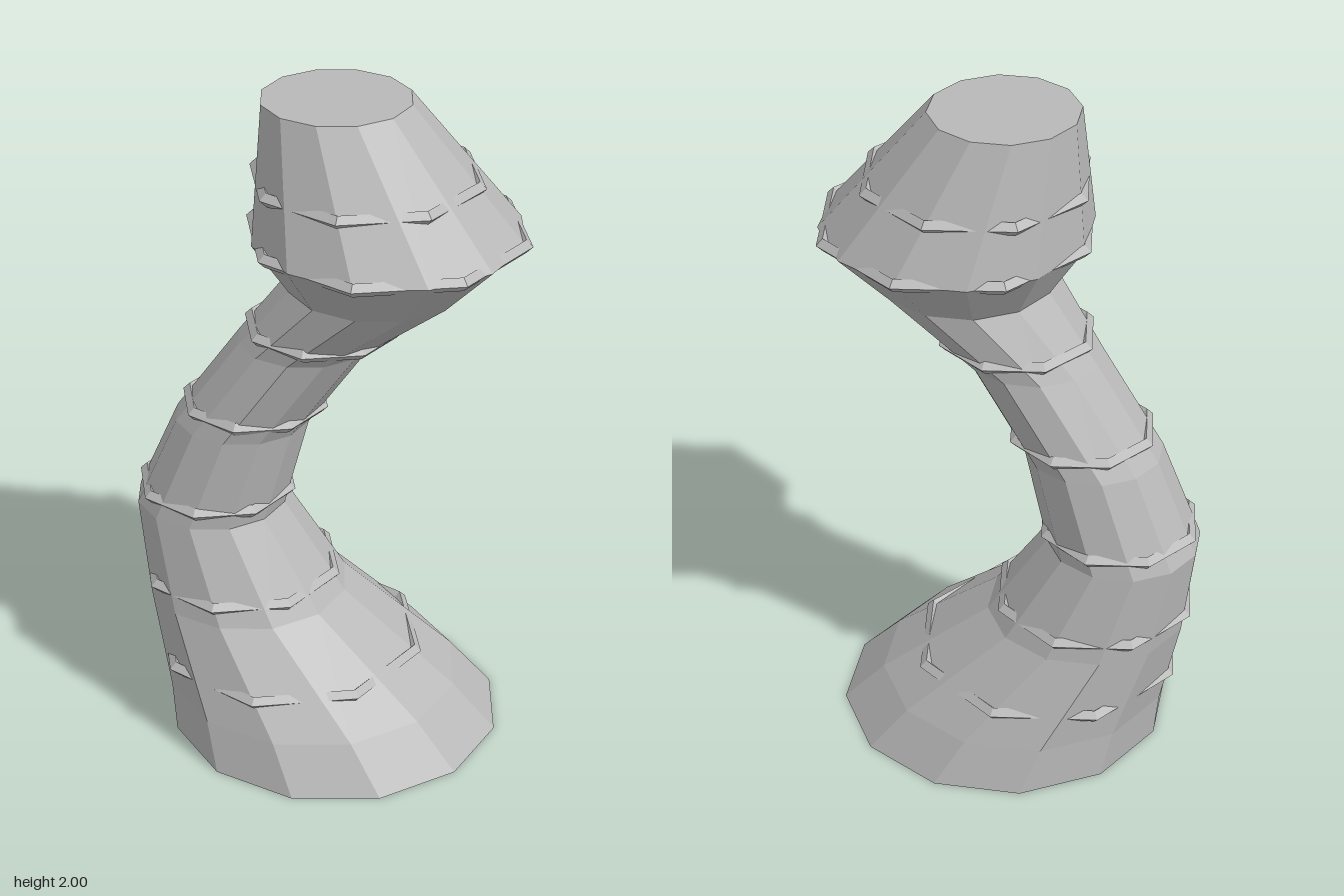
import * as THREE from 'three';

// Horizontal cross-sections of the body: [height, centre x, radius]
const SECTIONS = [
  [0, 0.022, 0.498],
  [0.14, -0.05, 0.44],
  [0.42, -0.25, 0.3],
  [0.7, -0.36, 0.225],
  [0.985, -0.26, 0.2],
  [1.26, -0.068, 0.198],
  [1.46, 0.142, 0.258],
  [1.62, 0.17, 0.39],
  [2, 0.022, 0.213],
];
const RING_HEIGHTS = [0.24, 0.475, 0.75, 1.04, 1.31, 1.62, 1.777];

// Centre and radius of the body at any height
function sectionAt(y) {
  let i = 0;
  while (i < SECTIONS.length - 2 && y > SECTIONS[i + 1][0]) i++;
  const [y0, x0, r0] = SECTIONS[i];
  const [y1, x1, r1] = SECTIONS[i + 1];
  const t = (y - y0) / (y1 - y0);
  return { x: THREE.MathUtils.lerp(x0, x1, t), r: THREE.MathUtils.lerp(r0, r1, t) };
}

export function createModel() {
  const group = new THREE.Group();
  group.name = 'curvedColumn';
  const grey = new THREE.MeshStandardMaterial({ color: 0xb8b8b8, flatShading: true });
  grey.name = 'stone grey';

  // Twelve-sided body: each row of a unit cylinder is moved to its section
  const rows = SECTIONS.length - 1;
  const bodyGeometry = new THREE.CylinderGeometry(1, 1, rows, 12, rows);
  const pos = bodyGeometry.attributes.position;
  for (let i = 0; i < pos.count; i++) {
    const [y, x, r] = SECTIONS[Math.round(pos.getY(i) + rows / 2)];
    pos.setXYZ(i, x + pos.getX(i) * r, y, pos.getZ(i) * r);
  }
  bodyGeometry.computeVertexNormals();
  const body = new THREE.Mesh(bodyGeometry, grey);
  body.name = 'body';
  group.add(body);

  // Eight-sided rings whose corners poke through the body
  RING_HEIGHTS.forEach((y, i) => {
    const { x, r } = sectionAt(y);
    const geometry = new THREE.TorusGeometry(r, 0.02, 4, 8);
    geometry.rotateX(Math.PI / 2);
    const ring = new THREE.Mesh(geometry, grey);
    ring.name = `ring${i + 1}`;
    ring.position.set(x, y, 0);
    group.add(ring);
  });

  return group;
}
